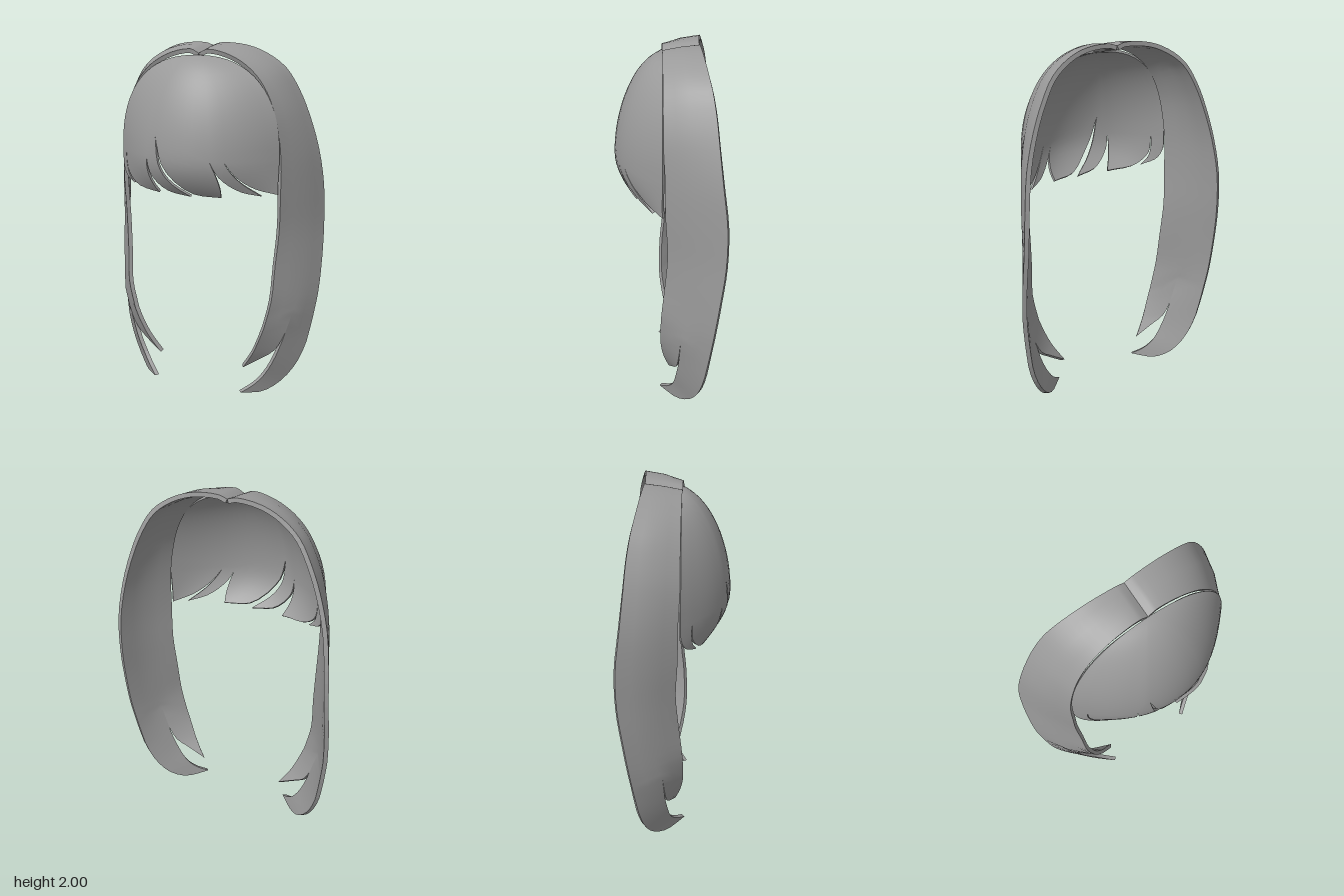
import * as THREE from 'three';
import { mergeVertices, mergeGeometries } from 'three/addons/utils/BufferGeometryUtils.js';

const V = (x, y, z) => new THREE.Vector3(x, y, z);
const hair = new THREE.MeshStandardMaterial({ color: 0x9a9a9a });
hair.name = 'grey hair';

function geometryOf(points) {
  return new THREE.BufferGeometry().setFromPoints(points);
}

// Joins grids of points [row][column] into one smooth sheet and gives it thickness
function slab(grids, thickness) {
  const tris = [];
  for (const g of grids)
    for (let r = 0; r < g.length - 1; r++)
      for (let c = 0; c < g[r].length - 1; c++) {
        const a = g[r][c], b = g[r][c + 1], d = g[r + 1][c], e = g[r + 1][c + 1];
        for (const t of [[a, d, e], [a, e, b]]) {
          const area = t[1].clone().sub(t[0]).cross(t[2].clone().sub(t[0])).length();
          if (area > 1e-8) tris.push(...t);
        }
      }
  const sheet = mergeVertices(geometryOf(tris), 1e-4);
  sheet.computeVertexNormals();
  const outer = sheet.toNonIndexed();

  // Inner face: the sheet pushed inwards and turned over
  const inner = sheet.clone();
  const p = inner.attributes.position, n = inner.attributes.normal;
  for (let i = 0; i < p.count; i++) {
    p.setXYZ(i, p.getX(i) - n.getX(i) * thickness, p.getY(i) - n.getY(i) * thickness, p.getZ(i) - n.getZ(i) * thickness);
    n.setXYZ(i, -n.getX(i), -n.getY(i), -n.getZ(i));
  }
  const idx = sheet.index.array;
  const flipped = [];
  for (let i = 0; i < idx.length; i += 3) flipped.push(idx[i], idx[i + 2], idx[i + 1]);
  inner.setIndex(flipped);

  // Rim: one quad along every open edge
  const edges = new Set();
  for (let i = 0; i < idx.length; i += 3)
    for (let k = 0; k < 3; k++) edges.add(idx[i + k] + '_' + idx[i + (k + 1) % 3]);
  const rimPoints = [];
  const at = (attr, i) => new THREE.Vector3().fromBufferAttribute(attr, i);
  for (const key of edges) {
    const [a, b] = key.split('_').map(Number);
    if (edges.has(b + '_' + a)) continue;
    const A = at(sheet.attributes.position, a), B = at(sheet.attributes.position, b);
    const a2 = at(p, a), b2 = at(p, b);
    rimPoints.push(B, A, a2, B, a2, b2);
  }
  const rim = geometryOf(rimPoints);
  rim.computeVertexNormals();
  return mergeGeometries([outer, inner.toNonIndexed(), rim]);
}

// Grid between rails: smooth along the rails, straight from one rail to the next
function loft(rails, rows, cols) {
  const curves = rails.map(r => new THREE.CatmullRomCurve3(r));
  const grid = [];
  for (let r = 0; r <= rows; r++) {
    const pts = curves.map(c => c.getPoint(r / rows));
    const row = [pts[0]];
    for (let i = 0; i < pts.length - 1; i++)
      for (let c = 1; c <= cols; c++) row.push(pts[i].clone().lerp(pts[i + 1], c / cols));
    grid.push(row);
  }
  return grid;
}

// Long side lock from the parting to two pointed tips
function lockGrids() {
  const back = [
    [0, 1.985, -.165], [.05, 2, -.165], [.2, 1.99, -.175], [.32, 1.945, -.19], [.42, 1.87, -.21],
    [.49, 1.76, -.228], [.55, 1.62, -.242], [.605, 1.43, -.262], [.635, 1.22, -.285], [.645, 1, -.282],
    [.648, .8, -.258], [.64, .6, -.232], [.62, .45, -.212],
  ].map(a => V(...a));
  const front = [
    [0, 1.95, .03], [.05, 1.972, .03], [.17, 1.95, .03], [.28, 1.893, .03], [.36, 1.815, .03],
    [.418, 1.715, .03], [.458, 1.59, .03], [.482, 1.4, .022], [.483, 1.2, .02], [.477, 1, .01],
    [.463, .8, .025], [.452, .6, .045], [.412, .43, .05],
  ].map(a => V(...a));
  const split = V(.54, .5, -.06);
  const mid = back.map((b, i) => {
    if (i === back.length - 1) return split;
    const m = b.clone().lerp(front[i], .5);
    const out = V(m.x, Math.max(0, m.y - 1.2), 0).normalize();
    return m.addScaledVector(out, .016 * Math.min(1, i / 4));
  });
  const frontTip = V(.27, .15, 0), backTip = V(.28, .015, .055);
  const frontTail = [
    [front.at(-1), V(.385, .36, .045), V(.345, .27, .03), V(.31, .21, .015), frontTip],
    [split, V(.5, .37, -.05), V(.445, .27, -.04), V(.37, .215, -.02), frontTip],
  ];
  const backTail = [
    [split, V(.485, .32, -.05), V(.44, .2, -.035), V(.39, .11, -.02), V(.34, .055, .01), backTip],
    [back.at(-1), V(.585, .27, -.185), V(.53, .14, -.155), V(.46, .05, -.11), V(.38, .003, -.04), backTip],
  ];
  return [loft([front, mid, back], 36, 2), loft(frontTail, 10, 2), loft(backTail, 12, 2)];
}

const mirror = grids => grids.map(g => g.map(row => row.map(v => V(-v.x, v.y, v.z)).reverse()));

// Fringe dome: flatter in the middle, squarer where it meets the side locks
const domeBase = 1.4, domeHeight = .54;
const domePower = x => 1.12 - .28 * (x / .478) ** 2;
const domeAngle = (x, y) => Math.acos(Math.max(0, (y - domeBase) / domeHeight) ** (1 / domePower(x)));

// Fringe depth at x, curling in below the slits
function fringeZ(x, y, swell) {
  const curl = y < domeBase ? .09 * ((domeBase - y) / .2) ** 2 : 0;
  return .027 + (.266 - curl) * swell * Math.max(0, 1 - Math.abs(x / .485) ** 2.1);
}

function fringeGrids() {
  // Tops of the slits between strands
  const slits = [[-.478, 1.4], [-.425, 1.4], [-.215, 1.41], [-.15, 1.52], [.17, 1.4], [.24, 1.4], [.478, 1.4]];
  // Each strand: left edge, right edge, tip
  const strands = [
    [[-.474, 1.32], [-.445, 1.26], [-.424, 1.33], [-.408, 1.27], [-.365, 1.22]],
    [[-.41, 1.29], [-.33, 1.218], [-.215, 1.33], [-.2, 1.26], [-.17, 1.195]],
    [[-.195, 1.31], [-.11, 1.22], [-.125, 1.36], [-.07, 1.27], [.03, 1.19]],
    [[-.1, 1.36], [.04, 1.215], [.195, 1.33], [.207, 1.25], [.2, 1.195]],
    [[.215, 1.31], [.3, 1.235], [.265, 1.35], [.32, 1.275], [.4, 1.205]],
    [[.29, 1.32], [.37, 1.25], [.476, 1.33], [.474, 1.27], [.473, 1.21]],
  ];
  const grids = [];
  strands.forEach(([l1, l2, r1, r2, tip], k) => {
    const flat = a => V(a[0], a[1], 0);
    const a = slits[k], b = slits[k + 1];
    const cols = Math.max(2, Math.round((b[0] - a[0]) / .045));
    const strand = loft([[a, l1, l2, tip].map(flat), [b, r1, r2, tip].map(flat)], 10, cols);
    strand.forEach(row => row.forEach(v => {
      v.z = fringeZ(v.x, v.y, Math.sin(domeAngle(v.x, v.y)) ** domePower(v.x));
    }));
    // Dome above the strand, fanning out from the crown
    const dome = [];
    for (let r = 0; r < 16; r++)
      dome.push(strand[0].map(v => {
        const power = domePower(v.x), end = domeAngle(v.x, v.y), t = end * r / 16;
        const s = Math.sin(t) ** power;
        const y = domeBase + domeHeight * Math.cos(t) ** power;
        return V(v.x * s / Math.sin(end) ** power, y, fringeZ(v.x, y, s));
      }));
    dome.push(strand[0]);
    grids.push(dome, strand);
  });
  return grids;
}

export function createModel() {
  const model = new THREE.Group();
  model.name = 'bobHair';
  const add = (name, grids, thickness) => {
    const mesh = new THREE.Mesh(slab(grids, thickness), hair);
    mesh.name = name;
    model.add(mesh);
  };
  add('leftLock', lockGrids(), .024);
  add('rightLock', mirror(lockGrids()), .024);
  add('fringe', fringeGrids(), .014);
  return model;
}
